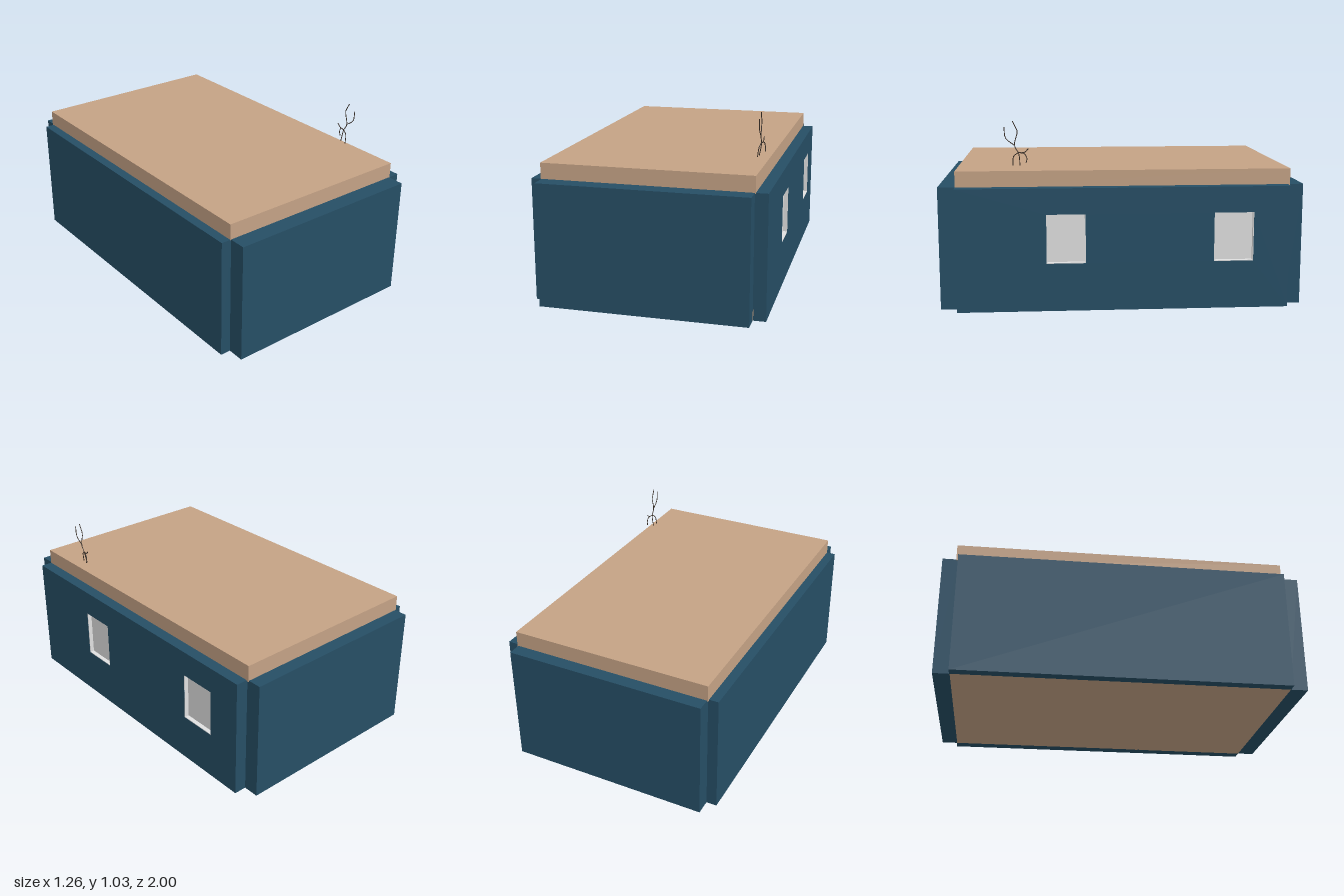
import * as THREE from 'three';

const material = (name, color) => {
  const m = new THREE.MeshStandardMaterial({ color });
  m.name = name;
  return m;
};

export function createModel() {
  const blue = material('wall blue', 0x264e65);
  const tan = material('timber tan', 0xc4a285);
  const pale = material('window white', 0xe0e0e0);
  const bark = material('dark bark', 0x3a3028);
  const model = new THREE.Group();
  model.name = 'house';

  const add = (name, geometry, mat, parent = model) => {
    const mesh = new THREE.Mesh(geometry, mat);
    mesh.name = name;
    parent.add(mesh);
    return mesh;
  };
  // Box given by its lower and upper limits on each axis
  const block = (name, [x0, x1], [y0, y1], [z0, z1], mat, parent) =>
    add(name, new THREE.BoxGeometry(x1 - x0, y1 - y0, z1 - z0), mat, parent)
      .position.set((x0 + x1) / 2, (y0 + y1) / 2, (z0 + z1) / 2);

  // Floor and roof slabs
  block('floor', [-0.575, 0.563], [0, 0.06], [-0.91, 0.905], tan);
  block('roof', [-0.58, 0.565], [0.672, 0.765], [-0.925, 0.905], tan);

  // Plain walls, with open notches at the corners
  const height = [0, 0.678];
  block('frontWall', [-0.575, 0.56], height, [0.905, 1], blue);
  block('backWall', [-0.575, 0.56], height, [-1, -0.91], blue);
  block('leftWall', [-0.633, -0.575], height, [-0.913, 0.905], blue);

  // Wall with two window openings, drawn in the (-z, y) plane
  const rect = (path, a, b, c, d) =>
    path.moveTo(a, c).lineTo(b, c).lineTo(b, d).lineTo(a, d).closePath();
  const sill = 0.265, head = 0.535;
  const openings = [[0.205, 0.417], [-0.715, -0.497]];
  const outline = rect(new THREE.Shape(), -0.905, 0.913, ...height);
  for (const [z0, z1] of openings) outline.holes.push(rect(new THREE.Path(), -z1, -z0, sill, head));
  const wall = new THREE.ExtrudeGeometry(outline, { depth: 0.07, bevelEnabled: false });
  wall.rotateY(Math.PI / 2);
  add('rightWall', wall, blue).position.x = 0.56;

  // Recessed panes with a thin sill and side linings
  for (const [z0, z1] of openings) {
    const win = new THREE.Group();
    win.name = 'window';
    model.add(win);
    const t = 0.004, lining = [0.6, 0.629];
    block('pane', [0.595, 0.605], [sill, head], [z0, z1], pale, win);
    block('sill', lining, [sill, sill + t], [z0, z1], pale, win);
    block('sideLining', lining, [sill, head], [z0, z0 + t], pale, win);
    block('sideLining', lining, [sill, head], [z1 - t, z1], pale, win);
  }

  // Small bare twig above the roof: a forked stem on splayed roots
  const twig = new THREE.Group();
  twig.name = 'twig';
  model.add(twig);
  const fork = [0.53, 0.9, 0.583], base = [0.53, 0.86, 0.562];
  const strands = [
    [base, fork, [0.53, 0.976, 0.567], [0.53, 1.005, 0.58], [0.53, 1.03, 0.592]],
    [fork, [0.53, 0.94, 0.63], [0.53, 1.0, 0.637]],
    [base, [0.535, 0.862, 0.53], [0.535, 0.882, 0.508]],
    [base, [0.54, 0.855, 0.53], [0.543, 0.83, 0.517], [0.545, 0.805, 0.522]],
    [base, [0.522, 0.84, 0.588], [0.515, 0.788, 0.594]],
    [base, [0.526, 0.83, 0.557], [0.518, 0.79, 0.556]],
  ];
  for (const points of strands) {
    const curve = new THREE.CatmullRomCurve3(points.map(p => new THREE.Vector3(...p)));
    add('branch', new THREE.TubeGeometry(curve, 10, 0.0025, 5), bark, twig);
  }
  return model;
}
